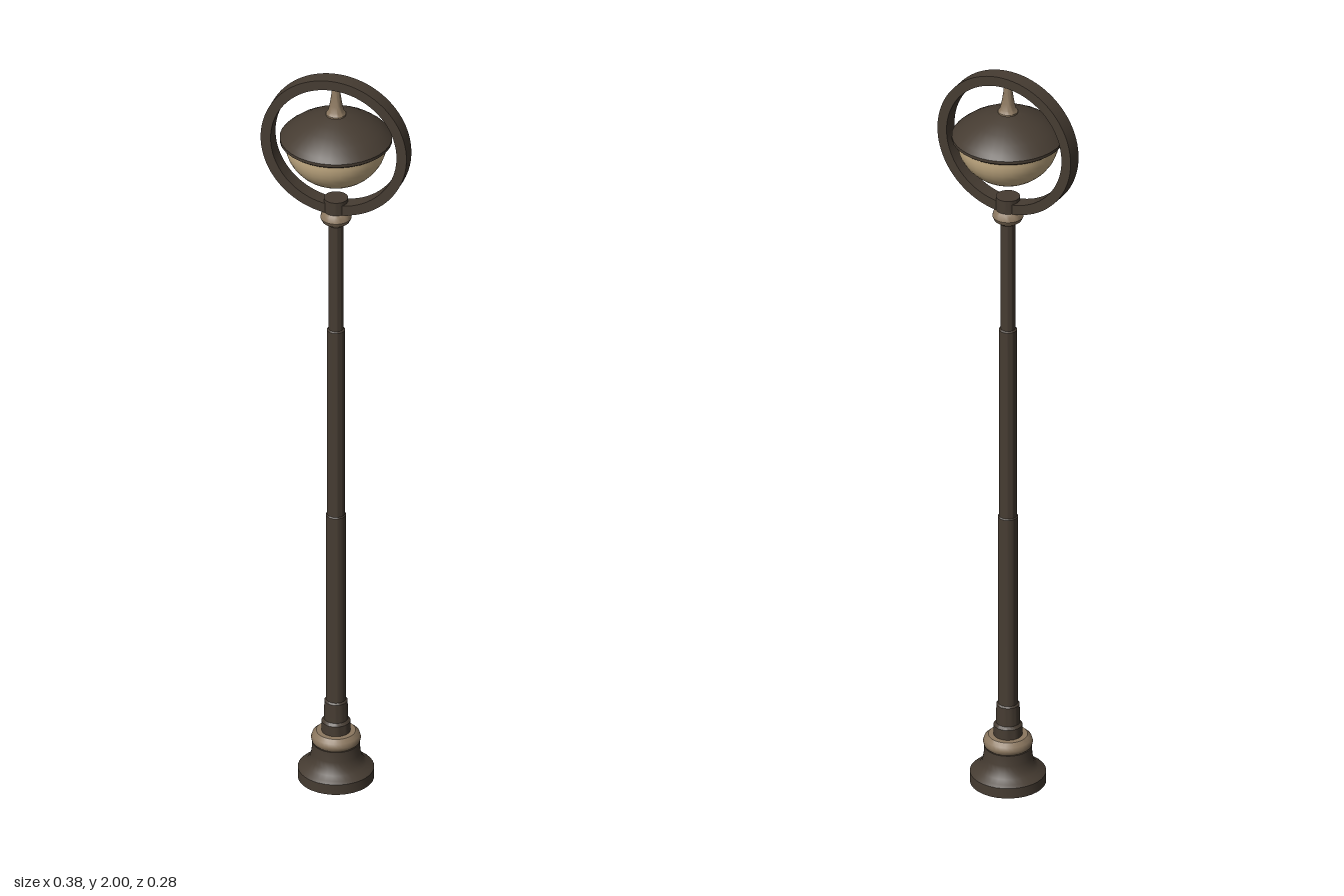
import * as THREE from 'three';
import { toCreasedNormals } from 'three/addons/utils/BufferGeometryUtils.js';

export function createModel() {
  const group = new THREE.Group();
  const material = (name, color) => {
    const m = new THREE.MeshStandardMaterial({ color });
    m.name = name;
    return m;
  };
  const iron = material('dark iron', 0x463c32);
  const brass = material('aged brass', 0x8c7860);
  const glass = material('cream glass', 0xcdb48a);

  const add = (name, geometry, mat) => {
    const mesh = new THREE.Mesh(toCreasedNormals(geometry, 0.6), mat);
    mesh.name = name;
    group.add(mesh);
    return mesh;
  };
  // Turned part from [radius, height] pairs, bottom to top along the outside
  const turn = (name, profile, mat) =>
    add(name, new THREE.LatheGeometry(profile.map(([r, y]) => new THREE.Vector2(r, y)), 32), mat);

  // Flared foot, hollow underneath
  turn('base', [
    [0, 0.09], [0.05, 0.085], [0.062, 0.04], [0.082, 0.02], [0.082, 0], [0.095, 0], [0.095, 0.028],
    [0.088, 0.034], [0.075, 0.042], [0.066, 0.055], [0.061, 0.072], [0.059, 0.1], [0, 0.1],
  ], iron);
  turn('baseBand', [
    [0, 0.097], [0.053, 0.097], [0.06, 0.104], [0.062, 0.113], [0.059, 0.123], [0.049, 0.132], [0, 0.134],
  ], brass);

  // Stepped, tapering pole
  turn('pole', [
    [0.036, 0.13], [0.036, 0.16], [0.03, 0.167], [0.029, 0.218], [0.025, 0.222], [0.025, 0.75],
    [0.0225, 0.753], [0.0225, 1.28], [0.0185, 1.283], [0.0185, 1.6],
  ], iron);
  turn('neckBand', [
    [0, 1.583], [0.022, 1.583], [0.034, 1.592], [0.039, 1.603], [0.036, 1.615], [0.028, 1.624], [0, 1.624],
  ], brass);
  turn('collar', [[0, 1.62], [0.03, 1.62], [0.03, 1.658], [0, 1.658]], iron);

  // Flat hoop around the lamp
  const hoop = new THREE.Shape().absarc(0, 0, 0.19, 0, Math.PI * 2);
  hoop.holes.push(new THREE.Path().absarc(0, 0, 0.164, 0, Math.PI * 2, true));
  const hoopGeometry = new THREE.ExtrudeGeometry(hoop, { depth: 0.04, bevelEnabled: false, curveSegments: 48 });
  add('hoop', hoopGeometry.translate(0, 1.81, -0.02), iron);

  // Lamp: shallow cap, glass bowl, tip and hanger
  turn('lampCap', [
    [0, 1.818], [0.132, 1.818], [0.14, 1.824], [0.14, 1.832], [0.13, 1.843], [0.11, 1.859],
    [0.085, 1.874], [0.055, 1.887], [0.025, 1.896], [0, 1.898],
  ], iron);
  const bowl = [];
  for (let i = 0; i <= 12; i++) {
    const a = (i / 12) * Math.PI / 2;
    bowl.push([0.128 * Math.sin(a), 1.822 - 0.118 * Math.cos(a)]);
  }
  turn('lampBowl', bowl, glass);
  turn('bowlTip', [[0, 1.697], [0.008, 1.699], [0.012, 1.704], [0.012, 1.709], [0, 1.709]], iron);
  turn('hanger', [
    [0.025, 1.888], [0.025, 1.9], [0.02, 1.907], [0.016, 1.925], [0.012, 1.95], [0.01, 1.976], [0, 1.976],
  ], brass);

  return group;
}
